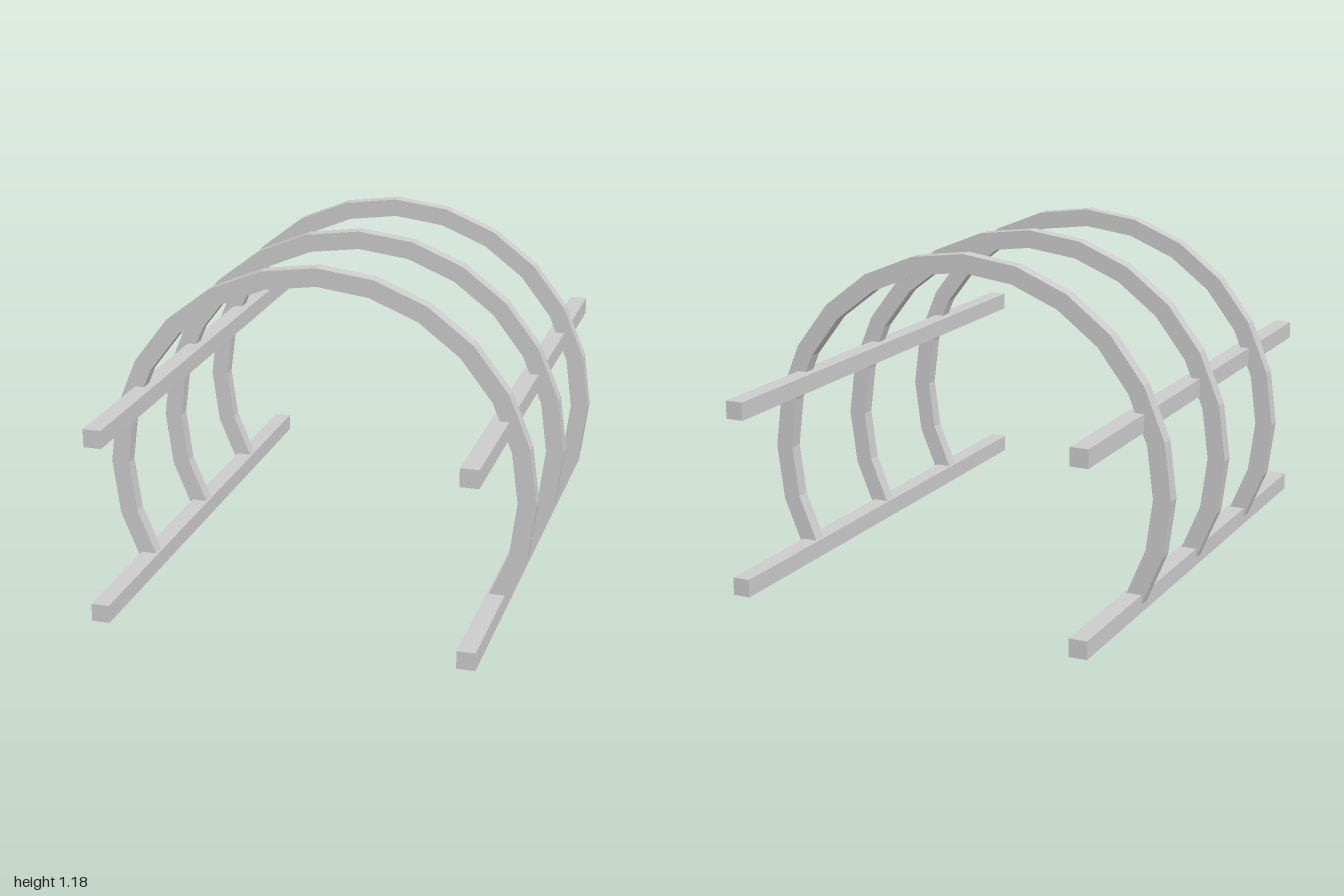
import * as THREE from 'three';

export function createModel() {
  const model = new THREE.Group();
  const material = new THREE.MeshStandardMaterial({ color: 0xcccccc, flatShading: true });

  // Faceted hoop profile: 240 degrees in 15 degree steps, open at the bottom
  const centerY = 0.41, outer = 0.775, inner = 0.71, steps = 16;
  const point = (radius, i) => {
    const a = THREE.MathUtils.degToRad(-30 + i * 15);
    return new THREE.Vector2(radius * Math.cos(a), centerY + radius * Math.sin(a));
  };
  const profile = [];
  for (let i = 0; i <= steps; i++) profile.push(point(outer, i));
  for (let i = steps; i >= 0; i--) profile.push(point(inner, i));

  const hoopWidth = 0.05;
  const hoopGeometry = new THREE.ExtrudeGeometry(new THREE.Shape(profile), { depth: hoopWidth, bevelEnabled: false });
  hoopGeometry.translate(0, 0, -hoopWidth / 2);

  // Three hoops along the length
  for (const [name, z] of [['frontHoop', 0.52], ['middleHoop', 0], ['backHoop', -0.52]]) {
    const hoop = new THREE.Mesh(hoopGeometry, material);
    hoop.name = name;
    hoop.position.z = z;
    model.add(hoop);
  }

  // Four long square rails: ground rails and side rails
  const railGeometry = new THREE.BoxGeometry(0.064, 0.064, 2);
  for (const [side, sign] of [['left', 1], ['right', -1]]) {
    for (const [level, y] of [['GroundRail', 0.032], ['SideRail', 0.67]]) {
      const rail = new THREE.Mesh(railGeometry, material);
      rail.name = side + level;
      rail.position.set(sign * 0.642, y, 0);
      model.add(rail);
    }
  }
  return model;
}
